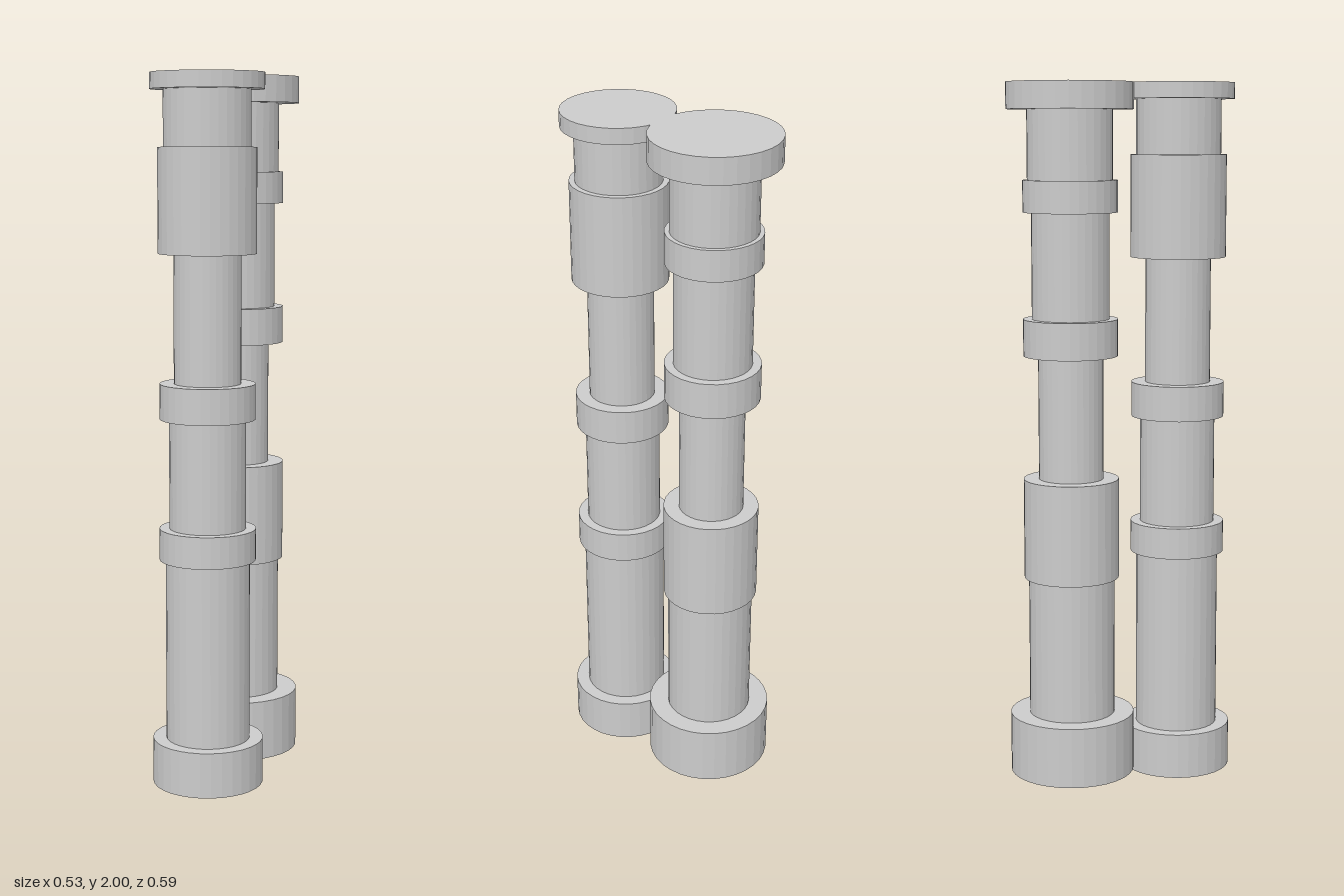
import * as THREE from 'three';

const SIDES = 32;

// Each section: [name, bottom y, top y, radius]
const FRONT = [
  ['base', 0, 0.13, 0.157],
  ['shaft', 0.13, 0.65, 0.119],
  ['ring', 0.65, 0.74, 0.136],
  ['shaft', 0.74, 1.05, 0.108],
  ['ring', 1.05, 1.15, 0.134],
  ['shaft', 1.15, 1.51, 0.094],
  ['collar', 1.51, 1.8, 0.137],
  ['shaft', 1.8, 1.955, 0.121],
  ['capital', 1.955, 2, 0.158],
];
const BACK = [
  ['base', 0.01, 0.185, 0.18],
  ['shaft', 0.185, 0.59, 0.124],
  ['collar', 0.59, 0.88, 0.137],
  ['shaft', 0.88, 1.235, 0.093],
  ['ring', 1.235, 1.34, 0.135],
  ['shaft', 1.34, 1.64, 0.11],
  ['ring', 1.64, 1.73, 0.134],
  ['shaft', 1.73, 1.925, 0.121],
  ['capital', 1.925, 2, 0.179],
];

// Stack of cylinders; shafts are open because the wider sections close them
function makePillar(name, sections, x, z, material) {
  const pillar = new THREE.Group();
  pillar.name = name;
  pillar.position.set(x, 0, z);
  for (const [part, y0, y1, r] of sections) {
    const geometry = new THREE.CylinderGeometry(r, r, y1 - y0, SIDES, 1, part === 'shaft');
    const mesh = new THREE.Mesh(geometry, material);
    mesh.name = part;
    mesh.position.y = (y0 + y1) / 2;
    pillar.add(mesh);
  }
  return pillar;
}

export function createModel() {
  const material = new THREE.MeshStandardMaterial({ color: 0xcccccc, flatShading: true });
  const model = new THREE.Group();
  model.name = 'pairedPillars';
  model.add(
    makePillar('frontPillar', FRONT, 0.107, 0.137, material),
    makePillar('backPillar', BACK, -0.087, -0.116, material),
  );
  return model;
}
